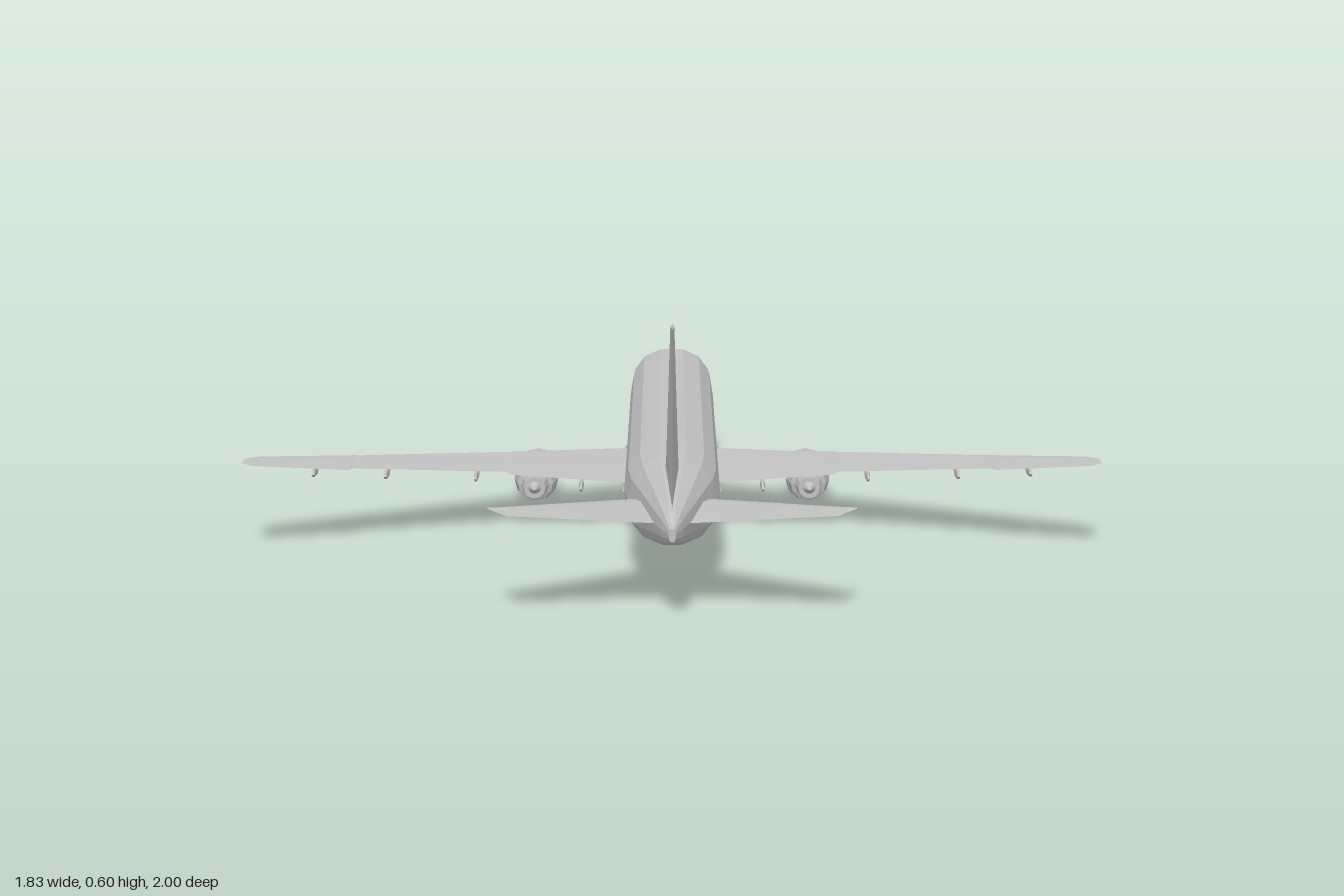
import * as THREE from 'three';

const skin = new THREE.MeshStandardMaterial({ color: 0xc0c0c0, flatShading: true, side: THREE.DoubleSide });
skin.name = 'light grey skin';

// Skin a series of equal-length rings of [x, y, z] points and close both ends.
function loft(rings) {
  const n = rings[0].length, pos = [];
  const tri = (a, b, c) => pos.push(...a, ...b, ...c);
  for (let i = 0; i < rings.length - 1; i++) {
    for (let j = 0; j < n; j++) {
      const k = (j + 1) % n;
      const a = rings[i][j], b = rings[i][k], c = rings[i + 1][k], d = rings[i + 1][j];
      tri(a, b, c);
      tri(a, c, d);
    }
  }
  const first = rings[0], last = rings[rings.length - 1];
  for (let j = 1; j < n - 1; j++) {
    tri(first[0], first[j + 1], first[j]);
    tri(last[0], last[j], last[j + 1]);
  }
  const geo = new THREE.BufferGeometry();
  geo.setAttribute('position', new THREE.Float32BufferAttribute(pos, 3));
  geo.computeVertexNormals();
  return geo;
}

// Mirror rings across x = 0 while keeping faces outward.
const sided = (rings, s) =>
  s > 0 ? rings : rings.map((r) => r.map(([x, y, z]) => [-x, y, z]).reverse());

// Body sections: [z, half width, bottom y, top y], squared slightly by the power.
function bodyRings(stations, sides, power) {
  const soft = (v) => Math.sign(v) * Math.pow(Math.abs(v), power);
  return stations.map(([z, w, lo, hi]) => {
    const ring = [];
    for (let j = 0; j < sides; j++) {
      const a = (j / sides) * Math.PI * 2;
      ring.push([w * soft(Math.cos(a)), (lo + hi) / 2 + ((hi - lo) / 2) * soft(Math.sin(a)), z]);
    }
    return ring;
  });
}

// Wing sections: [x, leading z, trailing z, mid y, thickness].
const wingRings = (sections) => sections.map(([x, le, te, y, t]) => {
  const c = te - le;
  return [
    [x, y + t * 0.5, le + c * 0.3], [x, y + t * 0.3, le + c * 0.65], [x, y, te],
    [x, y - t * 0.3, le + c * 0.6], [x, y - t * 0.5, le + c * 0.25], [x, y, le],
  ];
});

export function createModel() {
  const model = new THREE.Group();
  model.name = 'airliner';
  const add = (name, geo, parent = model) => {
    const mesh = new THREE.Mesh(geo, skin);
    mesh.name = name;
    parent.add(mesh);
    return mesh;
  };

  // Fuselage, nose toward -z
  add('fuselage', loft(bodyRings([
    [-1, 0.006, 0.138, 0.156], [-0.97, 0.03, 0.112, 0.178], [-0.92, 0.056, 0.09, 0.206],
    [-0.86, 0.078, 0.074, 0.246], [-0.77, 0.097, 0.064, 0.264], [-0.7, 0.1, 0.062, 0.266],
    [0.44, 0.1, 0.066, 0.266], [0.56, 0.09, 0.082, 0.265], [0.68, 0.067, 0.108, 0.254],
    [0.8, 0.042, 0.138, 0.238], [0.88, 0.022, 0.157, 0.222], [0.925, 0.007, 0.172, 0.2],
  ], 14, 0.85)));

  // Belly fairing at the wing roots
  add('bellyFairing', loft(bodyRings([
    [-0.37, 0.07, 0.068, 0.12], [-0.31, 0.112, 0.058, 0.145], [-0.1, 0.115, 0.054, 0.14],
    [0.08, 0.11, 0.055, 0.125], [0.24, 0.06, 0.068, 0.1],
  ], 10, 0.75)));

  // Vertical fin with its dorsal fillet: [y, leading z, trailing z, half thickness]
  add('fin', loft([
    [0.2, 0.46, 0.85, 0.014], [0.265, 0.47, 0.868, 0.013], [0.292, 0.575, 0.877, 0.012],
    [0.592, 0.9, 0.992, 0.004], [0.6, 0.915, 1, 0.003],
  ].map(([y, le, te, t]) => {
    const m = le + (te - le) * 0.4;
    return [[0, y, te], [t, y, m], [0, y, le], [-t, y, m]];
  })));

  for (const s of [1, -1]) {
    const label = s > 0 ? 'left' : 'right';

    // Swept wing with stepped flaps
    add(label + 'Wing', loft(sided(wingRings([
      [0.05, -0.34, 0.05, 0.1, 0.055], [0.11, -0.3, 0.065, 0.106, 0.05],
      [0.355, -0.145, 0.105, 0.132, 0.028], [0.365, -0.14, 0.08, 0.133, 0.026],
      [0.69, 0.075, 0.215, 0.169, 0.015], [0.695, 0.078, 0.236, 0.17, 0.014],
      [0.89, 0.205, 0.305, 0.193, 0.007], [0.916, 0.24, 0.29, 0.196, 0.004],
    ]), s)));

    // Tailplane
    add(label + 'Tailplane', loft(sided(wingRings([
      [0.02, 0.595, 0.825, 0.187, 0.02], [0.09, 0.635, 0.84, 0.194, 0.017],
      [0.32, 0.815, 0.9, 0.219, 0.007], [0.36, 0.845, 0.853, 0.223, 0.003],
    ]), s)));

    // Engine: one profile covers fan face, inlet lip, cowl, core and exhaust cone
    const engine = new THREE.Group();
    engine.name = label + 'Engine';
    engine.position.set(0.311 * s, 0.057, 0);
    model.add(engine);
    const profile = [
      [0, -0.28], [0.012, -0.255], [0.041, -0.25], [0.044, -0.31], [0.048, -0.32],
      [0.052, -0.28], [0.05, -0.2], [0.04, -0.15], [0.031, -0.145], [0.025, -0.105],
      [0.014, -0.105], [0, -0.075],
    ].map(([r, z]) => new THREE.Vector2(r, z));
    add('nacelle', new THREE.LatheGeometry(profile, 12).rotateX(Math.PI / 2), engine);

    // Pylon joining the cowl to the wing underside
    const outline = new THREE.Shape([
      [-0.28, 0.045], [-0.2, 0.068], [-0.1, 0.08], [0.02, 0.07], [-0.08, 0.045], [-0.14, 0.015], [-0.22, 0.035],
    ].map(([z, y]) => new THREE.Vector2(-z, y)));
    const pylon = new THREE.ExtrudeGeometry(outline, { depth: 0.014, bevelEnabled: false });
    add('pylon', pylon.translate(0, 0, -0.007).rotateY(Math.PI / 2), engine);

    // Slim flap track fairings: [x, y, centre z]
    for (const [x, y, z] of [[0.2, 0.1, 0.06], [0.43, 0.126, 0.075], [0.62, 0.147, 0.15], [0.77, 0.163, 0.2]]) {
      const pod = new THREE.SphereGeometry(1, 6, 4).scale(0.006, 0.011, 0.06);
      add(label + 'FlapFairing', pod.translate(x * s, y, z));
    }
  }
  return model;
}
